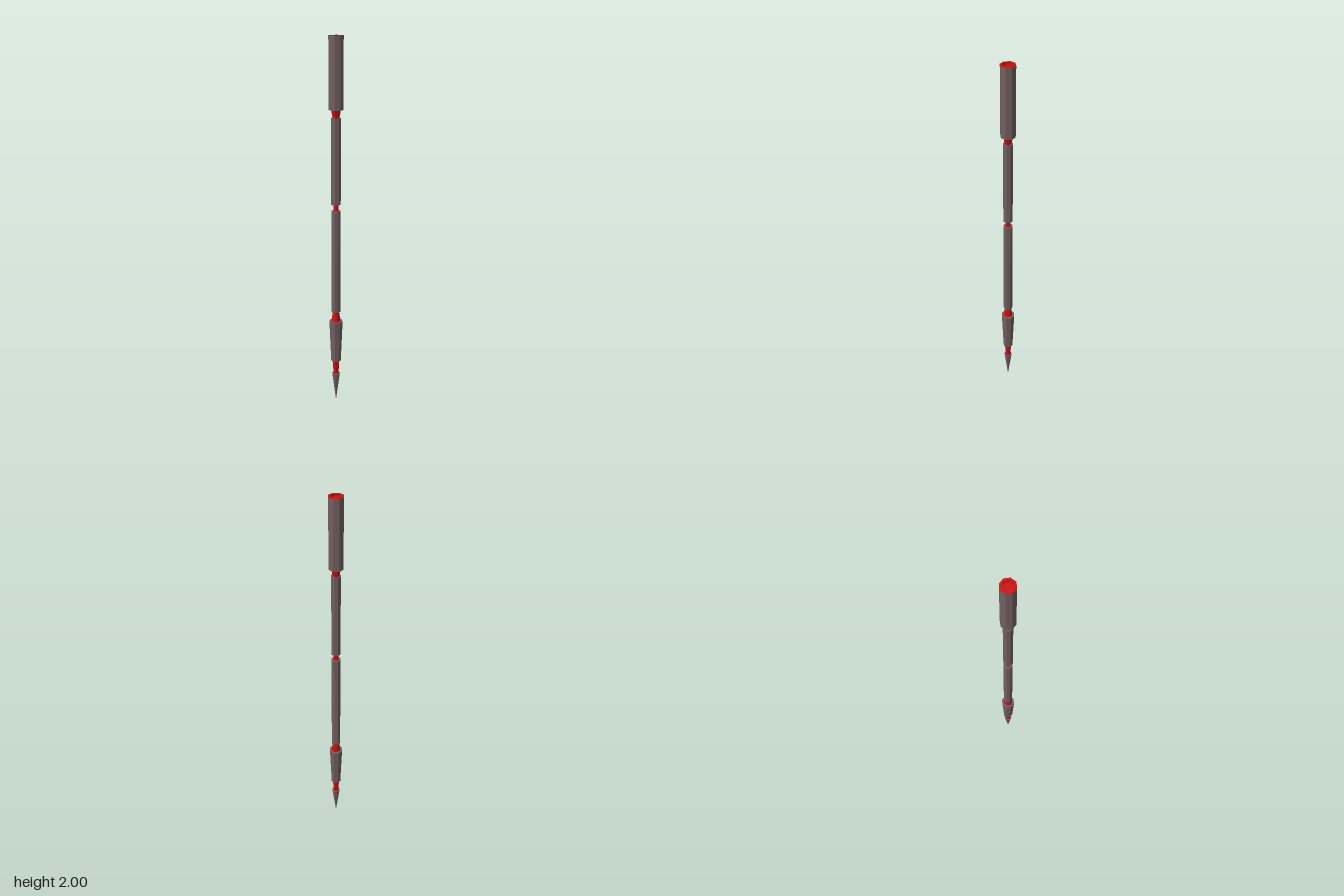
import * as THREE from 'three';

export function createModel() {
  const model = new THREE.Group();
  const metal = new THREE.MeshStandardMaterial({ color: 0x735f5f, flatShading: true });
  metal.name = 'warmGreyMetal';
  const red = new THREE.MeshStandardMaterial({ color: 0xcc0f0f, flatShading: true });
  red.name = 'red';

  // Eight-sided lathe section from [radius, height] points, bottom to top
  function section(name, material, points) {
    const profile = points.map(([r, y]) => new THREE.Vector2(r, y));
    const mesh = new THREE.Mesh(new THREE.LatheGeometry(profile, 8), material);
    mesh.name = name;
    model.add(mesh);
  }

  // Pointed tip
  section('tip', metal, [[0, 0], [0.022, 0.17], [0, 0.17]]);
  section('tipNeck', red, [[0.014, 0.17], [0.019, 0.25]]);

  // Tapered lower collar
  section('collar', metal, [[0, 0.25], [0.027, 0.25], [0.037, 0.49], [0, 0.49]]);
  section('collarNeck', red, [[0.025, 0.49], [0.017, 0.545]]);

  // Two shaft lengths joined by a thin ring
  section('lowerShaft', metal, [[0, 0.545], [0.025, 0.545], [0.025, 1.115], [0, 1.115]]);
  section('shaftJoint', red, [[0.014, 1.115], [0.014, 1.15]]);
  section('upperShaft', metal, [[0, 1.15], [0.025, 1.15], [0.025, 1.6], [0, 1.6]]);
  section('handleNeck', red, [[0.017, 1.6], [0.025, 1.64]]);

  // Thick handle with a red, slightly recessed end
  section('handle', metal, [[0, 1.64], [0.038, 1.64], [0.038, 2]]);
  section('handleEnd', red, [[0.038, 2], [0.025, 2], [0.025, 1.99], [0, 1.99]]);

  return model;
}
